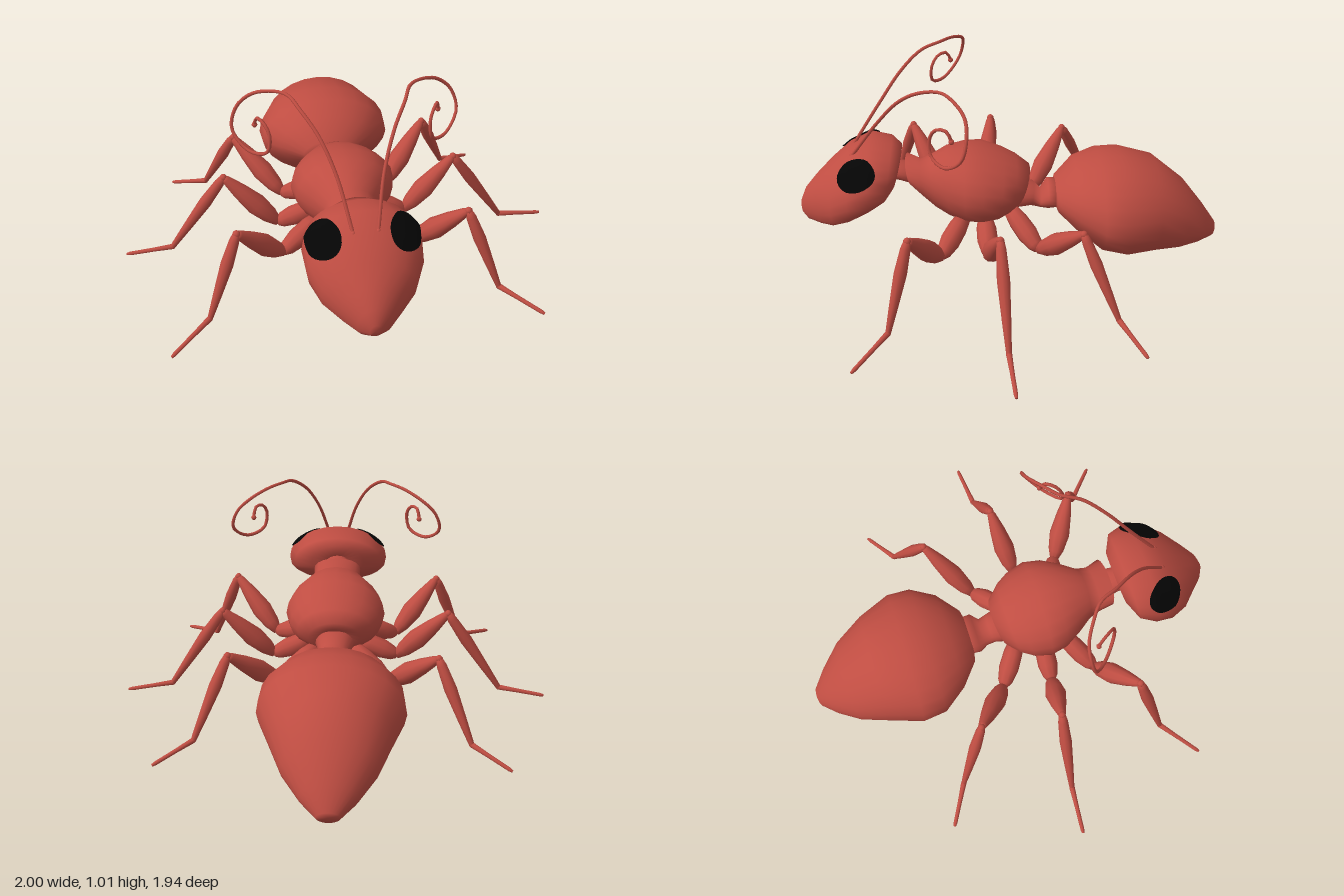
import * as THREE from 'three';

const V = (x, y, z) => new THREE.Vector3(x, y, z);

// Body shapes. Sections run back to front: [topZ, topY, bottomZ, bottomY, halfWidth];
// mid is the height of the widest line, low squares off (< 1) or sharpens (> 1) the underside
const THORAX = { mid: 0.5, low: 1, rings: [
  [-0.03, 0.42, 0, 0.36, 0.05], [-0.08, 0.48, -0.01, 0.3, 0.12], [-0.02, 0.52, 0.03, 0.275, 0.175],
  [0.04, 0.55, 0.08, 0.25, 0.21], [0.14, 0.588, 0.14, 0.24, 0.232], [0.22, 0.59, 0.22, 0.243, 0.215],
  [0.3, 0.58, 0.29, 0.265, 0.17], [0.37, 0.545, 0.35, 0.3, 0.122], [0.42, 0.52, 0.4, 0.36, 0.11],
  [0.485, 0.54, 0.45, 0.44, 0.115], [0.475, 0.51, 0.465, 0.46, 0.06],
] };
const HEAD = { mid: 0.42, low: 0.7, rings: [
  [0.535, 0.53, 0.54, 0.46, 0.05], [0.495, 0.6, 0.545, 0.43, 0.13], [0.54, 0.622, 0.58, 0.4, 0.215],
  [0.64, 0.645, 0.645, 0.355, 0.247], [0.735, 0.6, 0.735, 0.3, 0.237], [0.82, 0.53, 0.81, 0.265, 0.195],
  [0.89, 0.465, 0.87, 0.25, 0.13], [0.945, 0.4, 0.935, 0.255, 0.07], [0.97, 0.34, 0.965, 0.28, 0.025],
] };
const GASTER = { mid: 0.5, low: 1.15, rings: [
  [-0.97, 0.14, -0.945, 0.07, 0.05], [-0.91, 0.23, -0.87, 0.055, 0.12], [-0.81, 0.36, -0.77, 0.047, 0.2],
  [-0.66, 0.485, -0.66, 0.047, 0.26], [-0.5, 0.52, -0.52, 0.05, 0.318], [-0.4, 0.512, -0.4, 0.085, 0.31],
  [-0.29, 0.48, -0.29, 0.18, 0.235], [-0.2, 0.4, -0.21, 0.26, 0.13], [-0.19, 0.37, -0.2, 0.28, 0.08],
] };
const PETIOLE = { mid: 0.5, low: 1, rings: [
  [-0.215, 0.395, -0.21, 0.28, 0.092], [-0.165, 0.395, -0.16, 0.275, 0.095], [-0.135, 0.345, -0.12, 0.28, 0.068],
  [-0.1, 0.39, -0.08, 0.285, 0.07], [0.02, 0.42, 0.02, 0.28, 0.1],
] };
const NECK = { mid: 0.5, low: 1, rings: [
  [0.44, 0.52, 0.44, 0.42, 0.07], [0.52, 0.525, 0.51, 0.445, 0.06], [0.56, 0.54, 0.56, 0.45, 0.06],
] };

// Point on a body surface: u runs along the sections, a is the angle from the top
function surfacePoint({ rings, mid, low }, u, a) {
  const i = Math.min(Math.floor(u), rings.length - 2);
  const [tz, ty, bz, by, w] = rings[i].map((v, k) => THREE.MathUtils.lerp(v, rings[i + 1][k], u - i));
  const c = Math.cos(a);
  const f = c > 0 ? mid + c * (1 - mid) : mid * (1 - Math.pow(-c, low));
  return V(Math.sin(a) * w, by + (ty - by) * f, bz + (tz - bz) * f);
}

// Closed smooth body skinned over its cross-sections
function loft(shape, segs = 20) {
  const pos = [], idx = [], rings = shape.rings, n = rings.length;
  for (let i = 0; i < n; i++)
    for (let j = 0; j < segs; j++)
      pos.push(...surfacePoint(shape, i, (j / segs) * Math.PI * 2));
  for (const r of [rings[0], rings[n - 1]]) pos.push(0, (r[1] + r[3]) / 2, (r[0] + r[2]) / 2);
  for (let j = 0; j < segs; j++) {
    const k = (j + 1) % segs;
    for (let i = 0; i < n - 1; i++) {
      const a = i * segs + j, b = i * segs + k;
      idx.push(a, a + segs, b, b, a + segs, b + segs);
    }
    idx.push(n * segs, j, k, n * segs + 1, (n - 1) * segs + k, (n - 1) * segs + j);
  }
  return indexed(pos, idx);
}

function indexed(pos, idx) {
  const g = new THREE.BufferGeometry();
  g.setAttribute('position', new THREE.Float32BufferAttribute(pos, 3));
  g.setIndex(idx);
  g.computeVertexNormals();
  return g;
}

// Eye: oval patch lying just above the head surface
function eyePatch(side) {
  const pos = [], idx = [], R = 7, S = 28, center = V(0, 0.45, 0.7);
  for (let r = 0; r <= R; r++)
    for (let s = 0; s < S; s++) {
      const t = (s / S) * Math.PI * 2, q = r / R;
      const along = q * Math.cos(t), around = q * Math.sin(t);
      const p = surfacePoint(HEAD, 3.55 + 0.92 * along, side * (0.81 + 0.38 * around - 0.14 * along));
      p.addScaledVector(p.clone().sub(center).normalize(), 0.007);
      pos.push(...p);
    }
  for (let r = 0; r < R; r++)
    for (let s = 0; s < S; s++) {
      const a = r * S + s, b = r * S + ((s + 1) % S);
      if (side > 0) idx.push(a, a + S, b, b, a + S, b + S);
      else idx.push(a, b, a + S, b, b + S, a + S);
    }
  return indexed(pos, idx);
}

// Limb segment: turned profile of [fraction, radius] between two points
function limb(from, to, profile) {
  const dir = to.clone().sub(from), len = dir.length();
  const pts = [[0, 0], ...profile, [1, 0]].map(([t, r]) => new THREE.Vector2(r, t * len));
  const g = new THREE.LatheGeometry(pts, 10);
  g.applyQuaternion(new THREE.Quaternion().setFromUnitVectors(V(0, 1, 0), dir.normalize()));
  return g.translate(from.x, from.y, from.z);
}

const SEGMENTS = [
  ['coxa', [[0, 0.035], [0.25, 0.045], [0.6, 0.047], [0.88, 0.035], [1, 0.02]]],
  ['femur', [[0, 0.02], [0.15, 0.038], [0.4, 0.049], [0.7, 0.036], [0.95, 0.02], [1, 0.013]]],
  ['tibia', [[0, 0.015], [0.08, 0.022], [0.35, 0.028], [0.7, 0.02], [1, 0.012]]],
  ['tarsus', [[0, 0.013], [0.4, 0.01], [0.92, 0.009], [1, 0.006]]],
];
// Joints from body to foot
const LEGS = {
  frontLeg: [[0.12, 0.29, 0.23], [0.295, 0.205, 0.335], [0.495, 0.442, 0.465], [0.635, 0.073, 0.56], [0.805, 0.018, 0.705]],
  middleLeg: [[0.12, 0.28, 0.13], [0.295, 0.203, 0.12], [0.525, 0.452, 0.08], [0.785, 0.066, 0.06], [1, 0.034, 0.043]],
  rearLeg: [[0.09, 0.3, 0.01], [0.25, 0.193, -0.105], [0.46, 0.42, -0.275], [0.61, 0.073, -0.42], [0.78, 0.008, -0.52]],
};
const ANTENNA = [
  [0.05, 0.595, 0.715], [0.095, 0.785, 0.585], [0.15, 0.91, 0.487], [0.21, 0.98, 0.395], [0.25, 1, 0.31],
  [0.31, 0.993, 0.26], [0.39, 0.957, 0.213], [0.45, 0.9, 0.207], [0.475, 0.81, 0.23], [0.415, 0.742, 0.3],
  [0.345, 0.76, 0.355], [0.33, 0.84, 0.355], [0.35, 0.885, 0.325], [0.375, 0.887, 0.285], [0.383, 0.845, 0.268],
];

export function createModel() {
  const root = new THREE.Group();
  root.name = 'ant';
  const red = new THREE.MeshStandardMaterial({ color: 0xbf4d42 });
  red.name = 'red shell';
  const black = new THREE.MeshStandardMaterial({ color: 0x050505, side: THREE.DoubleSide });
  black.name = 'black eye';
  const add = (parent, name, geometry, material = red) => {
    const m = new THREE.Mesh(geometry, material);
    m.name = name;
    parent.add(m);
  };

  // Body
  add(root, 'gaster', loft(GASTER, 24));
  add(root, 'petiole', loft(PETIOLE));
  add(root, 'thorax', loft(THORAX));
  add(root, 'neck', loft(NECK));
  add(root, 'head', loft(HEAD, 24));

  for (const side of [1, -1]) {
    const label = side > 0 ? 'left' : 'right';
    const point = ([x, y, z]) => V(x * side, y, z);
    add(root, label + ' eye', eyePatch(side), black);

    // Curled antenna with small end knobs
    const antenna = new THREE.Group();
    antenna.name = label + ' antenna';
    const path = ANTENNA.map(point);
    add(antenna, 'stalk', new THREE.TubeGeometry(new THREE.CatmullRomCurve3(path), 56, 0.0075, 6));
    for (const [name, p] of [['base', path[0]], ['tip', path[path.length - 1]]])
      add(antenna, name, new THREE.SphereGeometry(0.012, 8, 6).translate(p.x, p.y, p.z));
    root.add(antenna);

    // Three jointed legs
    for (const [name, joints] of Object.entries(LEGS)) {
      const leg = new THREE.Group();
      leg.name = label + ' ' + name;
      const pts = joints.map(point);
      SEGMENTS.forEach(([part, profile], i) => add(leg, part, limb(pts[i], pts[i + 1], profile)));
      pts.slice(2, 4).forEach((p, i) =>
        add(leg, i ? 'ankle' : 'knee', new THREE.SphereGeometry(i ? 0.013 : 0.017, 8, 6).translate(p.x, p.y, p.z)));
      root.add(leg);
    }
  }
  return root;
}
